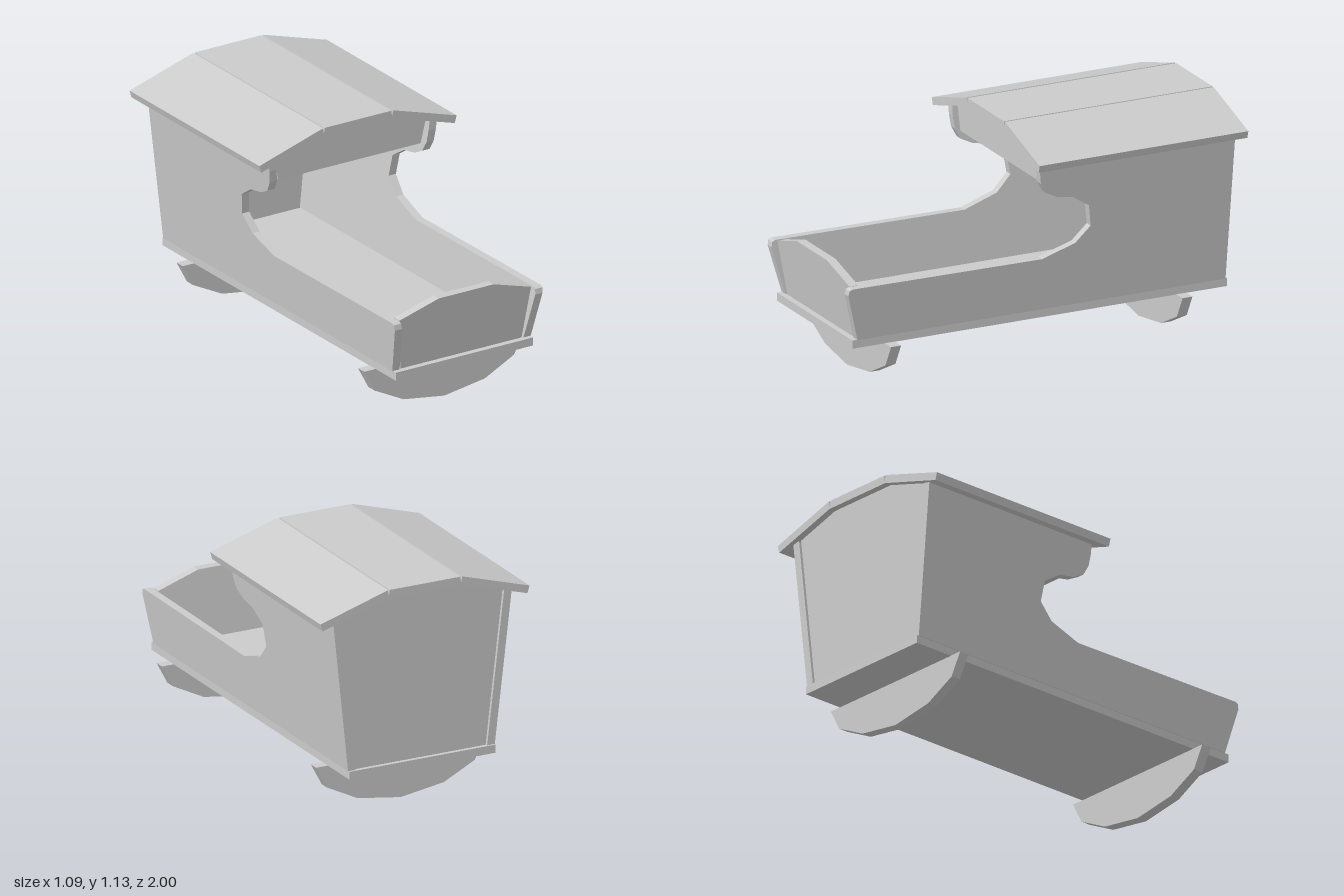
import * as THREE from 'three';

const material = new THREE.MeshStandardMaterial({ color: 0xcccccc, flatShading: true });

// Flat board: outline in x/y, extruded along z from z0 to z1
function board(points, z0, z1) {
  const shape = new THREE.Shape(points.map(([x, y]) => new THREE.Vector2(x, y)));
  const geo = new THREE.ExtrudeGeometry(shape, { depth: z1 - z0, bevelEnabled: false });
  return geo.translate(0, 0, z0);
}

// Completes a symmetric outline from its +x half
const mirrored = (half) => [...half, ...half.filter(([x]) => x > 0).reverse().map(([x, y]) => [-x, y])];

// Moves every vertex along one axis in proportion to its height above the base
function lean(geo, axis, slope) {
  const p = geo.attributes.position;
  for (let i = 0; i < p.count; i++) {
    p.setComponent(i, axis, p.getComponent(i, axis) + slope * (p.getY(i) - 0.26));
  }
  geo.computeVertexNormals();
  return geo;
}

export function createModel() {
  const group = new THREE.Group();
  const add = (name, geo) => {
    const mesh = new THREE.Mesh(geo, material);
    mesh.name = name;
    group.add(mesh);
  };

  // Floor slab
  add('base', new THREE.BoxGeometry(0.76, 0.04, 1.94).translate(0, 0.241, -0.005));

  // Side panels, outline in z/y with the scooped opening, leaning outwards
  const sideOutline = [
    [0.94, 0.26], [1.0, 0.49], [0.995, 0.515], [0.98, 0.522], [0, 0.515], [-0.17, 0.57],
    [-0.245, 0.645], [-0.23, 0.75], [-0.145, 0.805], [-0.06, 0.82], [0, 0.85],
    [0.027, 0.9], [0.035, 0.96], [0.035, 1.015], [-0.975, 1.015], [-0.965, 0.26],
  ];
  for (const s of [1, -1]) {
    const geo = board(sideOutline, -0.02, 0.02).rotateY(-Math.PI / 2).translate(s * 0.363, 0, 0);
    add(s > 0 ? 'leftSide' : 'rightSide', lean(geo, 0, s * 0.111));
  }

  // End boards
  const foot = mirrored([[0.335, 0.26], [0.364, 0.52], [0.152, 0.585]]);
  add('footboard', lean(board(foot, 0.89, 0.935), 2, 0.14));
  const head = mirrored([[0.34, 0.26], [0.424, 1.02], [0.19, 1.092]]);
  add('headboard', lean(board(head, -0.955, -0.915), 2, -0.013));
  const canopy = mirrored([[0.393, 0.895], [0.424, 1.02], [0.19, 1.092]]);
  add('canopyFront', board(canopy, -0.03, 0.01));

  // Three roof planks with narrow grooves between them
  add('roofCentre', board(mirrored([[0.19, 1.09], [0.184, 1.13]]), -1, 0.08));
  const plank = [[0.187, 1.091], [0.535, 0.987], [0.546, 1.023], [0.194, 1.13]];
  add('roofLeft', board(plank, -1, 0.08));
  add('roofRight', board(plank.map(([x, y]) => [-x, y]), -1, 0.08));

  // Faceted rockers
  const rocker = mirrored([[0, 0], [0.225, 0.034], [0.386, 0.115], [0.443, 0.222]]);
  add('frontRocker', board(rocker, 0.745, 0.797));
  add('backRocker', board(rocker, -0.763, -0.712));

  return group;
}
